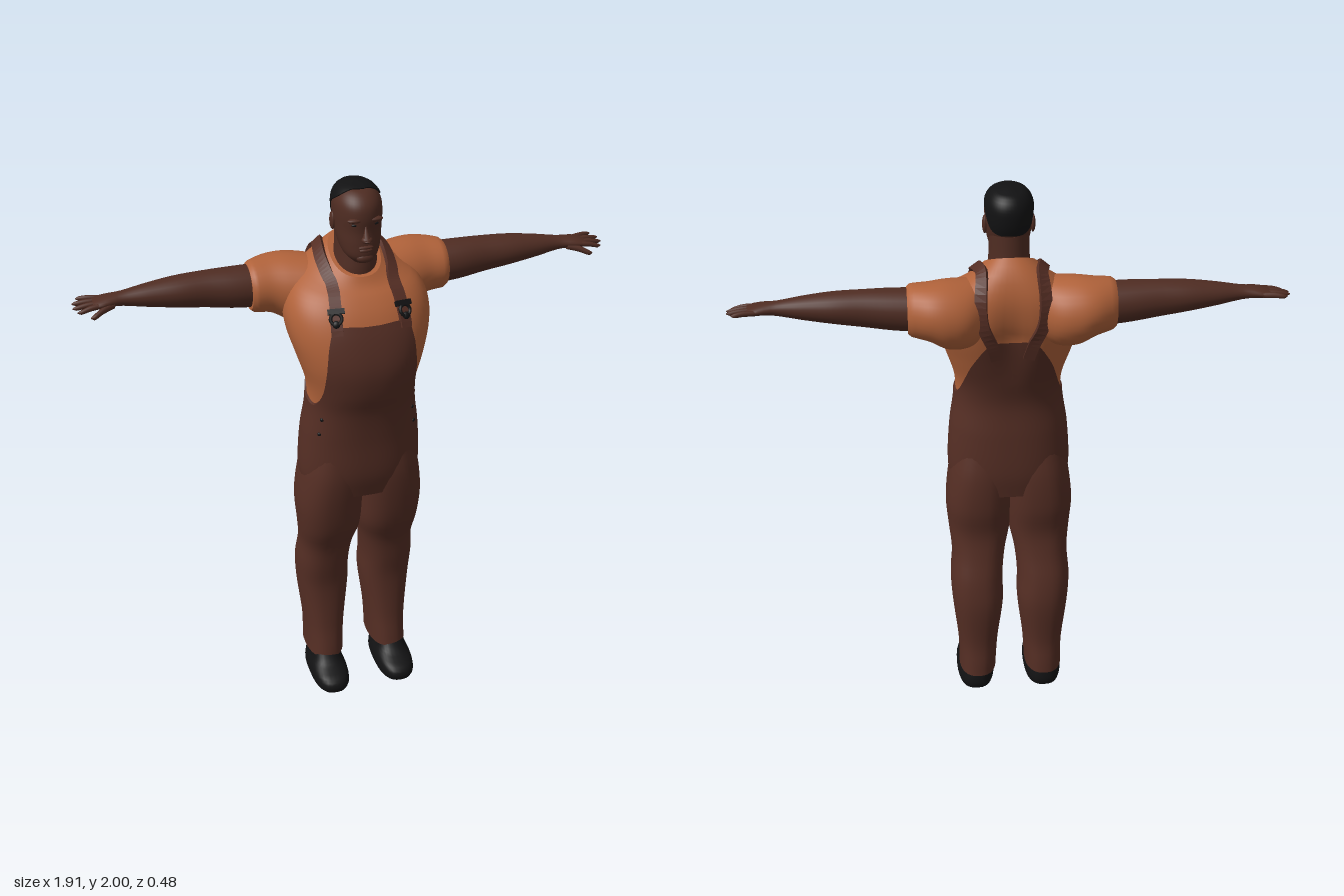
import * as THREE from 'three';

const V = (x, y, z) => new THREE.Vector3(x, y, z);
const spow = (v, n) => Math.sign(v) * Math.abs(v) ** (2 / n);

// Smoothly interpolate rows [key, a, b, ...] at a key
function at(rows, k) {
  const last = rows.length - 1;
  k = Math.min(Math.max(k, rows[0][0]), rows[last][0]);
  let i = 0;
  while (i < last - 1 && k > rows[i + 1][0]) i++;
  const slope = (j, c) => {
    const a = rows[Math.max(j - 1, 0)], b = rows[Math.min(j + 1, last)];
    return (b[c] - a[c]) / (b[0] - a[0]);
  };
  const h = rows[i + 1][0] - rows[i][0], t = (k - rows[i][0]) / h;
  return rows[i].map((p, c) => c === 0 ? k :
    p * (1 + 2 * t) * (1 - t) ** 2 + rows[i + 1][c] * t * t * (3 - 2 * t)
    + h * slope(i, c) * t * (1 - t) ** 2 + h * slope(i + 1, c) * t * t * (t - 1));
}

// Closed tube through rings of points, capped at both ends
function loft(rings) {
  const n = rings[0].length, pos = [], idx = [];
  const add = (p) => pos.push(p.x, p.y, p.z) / 3 - 1;
  rings.forEach((r) => r.forEach(add));
  for (let i = 0; i < rings.length - 1; i++) for (let j = 0; j < n; j++) {
    const a = i * n + j, b = i * n + (j + 1) % n;
    idx.push(a, b, a + n, b, b + n, a + n);
  }
  [rings[0], rings[rings.length - 1]].forEach((r, end) => {
    const c = add(r.reduce((s, p) => s.add(p), V(0, 0, 0)).divideScalar(n));
    const ids = r.map(add);
    ids.forEach((a, j) => {
      const b = ids[(j + 1) % n];
      end ? idx.push(a, b, c) : idx.push(b, a, c);
    });
  });
  const g = new THREE.BufferGeometry();
  g.setAttribute('position', new THREE.Float32BufferAttribute(pos, 3));
  g.setIndex(idx);
  g.computeVertexNormals();
  return g;
}

const surface = (fn, a, b, nv, nu = 40) => loft(Array.from({ length: nv + 1 }, (_, i) =>
  Array.from({ length: nu }, (_, j) => {
    const th = j / nu * Math.PI * 2;
    const hi = typeof b === 'function' ? b(th) : b, lo = typeof a === 'function' ? a(th) : a;
    return fn(th, lo + (hi - lo) * i / nv);
  })));

// Upright oval section; theta 0 faces front
const oval = (th, y, xc, hw, zf, zb, n = 2.3) =>
  V(xc + hw * spow(Math.sin(th), n), y, (zf + zb) / 2 + (zf - zb) / 2 * spow(Math.cos(th), n));

// Limb running along +x: rows [x, yc, zc, ry, rz]
const limb = (rows, nv, nu = 24) => surface((th, x) => {
  const [, yc, zc, ry, rz] = at(rows, x);
  return V(x, yc + ry * Math.cos(th), zc + rz * Math.sin(th));
}, rows[0][0], rows[rows.length - 1][0], nv, nu);

function mirrored(g) {
  const m = g.clone().scale(-1, 1, 1);
  if (!m.index) m.setIndex([...Array(m.attributes.position.count).keys()]);
  const ix = m.index.array;
  for (let i = 0; i < ix.length; i += 3) [ix[i], ix[i + 1]] = [ix[i + 1], ix[i]];
  return m;
}

// Torso: y, half width, front z, back z, forward slope
const TORSO = [
  [0.86, 0.2, 0.15, -0.1, 0], [0.95, 0.213, 0.172, -0.112, 0], [1.1, 0.205, 0.18, -0.108, 0],
  [1.22, 0.188, 0.195, -0.1, 0], [1.3, 0.192, 0.22, -0.115, 0], [1.4, 0.222, 0.232, -0.148, 0],
  [1.5, 0.25, 0.212, -0.18, 0], [1.58, 0.25, 0.178, -0.198, 0], [1.65, 0.215, 0.137, -0.195, -0.1],
  [1.7, 0.145, 0.108, -0.165, -0.3], [1.74, 0.087, 0.088, -0.118, -0.5],
];
function torsoPoint(th, y, off = 0) {
  const [, hw, zf, zb, tilt] = at(TORSO, y);
  const p = oval(th, y, 0, hw + off, zf + off, zb - off);
  p.y += tilt * (p.z - (zf + zb) / 2);
  // Spine groove between the shoulder blades
  if (p.z < 0) p.z += 0.028 * Math.exp(-((p.x / 0.06) ** 2)) * Math.max(0, 1 - Math.abs(y - 1.52) / 0.2);
  return p;
}
function torsoNormal(th, y) {
  const e = 0.01, du = torsoPoint(th + e, y).sub(torsoPoint(th - e, y));
  return du.cross(torsoPoint(th, y + e / 2).sub(torsoPoint(th, y - e / 2))).normalize();
}
const BIB = [[0, 1.555], [0.47, 1.55], [0.56, 1.5], [0.72, 1.4], [0.95, 1.3], [1.2, 1.24], [1.5, 1.235],
  [1.9, 1.25], [2.3, 1.33], [2.65, 1.43], [2.9, 1.5], [3.15, 1.5]];
const fold = (th) => th > Math.PI ? 2 * Math.PI - th : th;

const HEAD = [
  [1.745, 0.03, 0.1, 0.02], [1.77, 0.056, 0.119, -0.02], [1.81, 0.071, 0.121, -0.06],
  [1.86, 0.078, 0.118, -0.088], [1.91, 0.081, 0.122, -0.098], [1.95, 0.077, 0.113, -0.094],
  [1.98, 0.057, 0.084, -0.072], [1.993, 0.03, 0.05, -0.04], [1.996, 0.004, 0.01, -0.005],
];
const headPoint = (th, y, off = 0) => {
  const [, hw, zf, zb] = at(HEAD, y);
  return oval(th, y + off, 0, hw + off, zf + off, zb - off, 2.15);
};
const HAIRLINE = [[0, 1.991], [0.9, 1.985], [1.57, 1.945], [1.9, 1.915], [2.2, 1.87], [2.6, 1.852], [3.15, 1.85]];

// Trouser leg: y, inner x, outer x, front z, back z
const LEG = [
  [0.095, 0.056, 0.195, 0.086, -0.152], [0.14, 0.054, 0.194, 0.08, -0.15], [0.22, 0.048, 0.197, 0.068, -0.143],
  [0.4, 0.027, 0.216, 0.06, -0.155], [0.5, 0.028, 0.221, 0.074, -0.143], [0.6, 0.018, 0.214, 0.092, -0.117],
  [0.69, -0.002, 0.223, 0.13, -0.104], [0.8, -0.008, 0.231, 0.155, -0.12], [0.93, -0.012, 0.217, 0.17, -0.118],
  [1.03, -0.01, 0.195, 0.165, -0.098],
];

const SHOE = [
  [0, 0.066, 0.185, -0.1], [0.02, 0.071, 0.194, -0.106], [0.05, 0.067, 0.178, -0.103],
  [0.075, 0.058, 0.115, -0.097], [0.12, 0.05, 0.07, -0.09],
];

export function createModel() {
  const root = new THREE.Group();
  root.name = 'manInOveralls';
  const mat = (name, color) => new THREE.MeshStandardMaterial({ name, color });
  const skin = mat('skin', 0x4f2c22), shirt = mat('shirt', 0xb0623a);
  const denim = mat('overalls', 0x552e24), black = mat('black', 0x121213);
  const mesh = (name, g, m) => {
    const o = new THREE.Mesh(g, m);
    o.name = name;
    root.add(o);
    return o;
  };
  const pair = (name, g, m) => {
    mesh('left' + name, g, m);
    mesh('right' + name, mirrored(g), m);
  };
  const ball = (x, y, z, rx, ry, rz) => new THREE.SphereGeometry(1, 16, 12).scale(rx, ry, rz).translate(x, y, z);

  // Shirt
  mesh('shirtBody', surface((th, y) => torsoPoint(th, y), 1.15, 1.74, 32, 64), shirt);
  pair('Sleeve', limb([
    [0.08, 1.6, -0.07, 0.1, 0.1], [0.15, 1.592, -0.1, 0.118, 0.125], [0.22, 1.597, -0.117, 0.118, 0.124],
    [0.28, 1.61, -0.122, 0.1, 0.11], [0.345, 1.612, -0.108, 0.088, 0.09], [0.352, 1.612, -0.108, 0.08, 0.082],
  ], 24, 32), shirt);

  // Overalls: body with bib, legs, straps
  mesh('overallsBody', surface((th, y) => torsoPoint(th, y, 0.007), 0.86, (th) => at(BIB, fold(th))[1], 30, 96), denim);
  pair('Leg', surface((th, y) => {
    const [, xi, xo, zf, zb] = at(LEG, y);
    return oval(th, y, (xi + xo) / 2, (xo - xi) / 2, zf, zb, 2.4);
  }, 0.095, 1.03, 36, 32), denim);

  const path = new THREE.CatmullRomCurve3([
    [0.43, 1.53], [0.43, 1.6], [0.48, 1.65], [0.72, 1.695], [1.1, 1.715], [1.6, 1.722], [2.1, 1.718],
    [2.45, 1.7], [2.68, 1.65], [2.78, 1.58], [2.9, 1.5], [2.95, 1.44],
  ].map(([th, y]) => V(th, y, 0)));
  const track = path.getPoints(48);
  const onTrack = (i) => torsoPoint(track[i].x, track[i].y);
  const strap = loft(track.map((p, i) => {
    const c = onTrack(i), n = torsoNormal(p.x, p.y);
    const t = onTrack(Math.min(i + 1, 48)).sub(onTrack(Math.max(i - 1, 0))).normalize();
    const w = t.cross(n).normalize();
    return [[0.013, -1], [0.013, 1], [-0.012, 1], [-0.012, -1]].map(([h, s]) =>
      c.clone().addScaledVector(n, h).addScaledVector(w, s * 0.02));
  })).toNonIndexed();
  strap.computeVertexNormals();
  pair('Strap', strap, denim);

  // Buckles and side buttons, laid on the torso surface
  const lay = (g, th, y, off) => {
    const n = torsoNormal(th, y), p = torsoPoint(th, y).addScaledVector(n, off);
    return g.applyQuaternion(new THREE.Quaternion().setFromUnitVectors(V(0, 0, 1), n)).translate(p.x, p.y, p.z);
  };
  pair('BuckleBar', lay(new THREE.BoxGeometry(0.058, 0.018, 0.014), 0.43, 1.605, 0.016), black);
  pair('BuckleRing', lay(new THREE.TorusGeometry(0.019, 0.006, 8, 16), 0.43, 1.582, 0.016), black);
  pair('BuckleStud', lay(ball(0, 0, 0, 0.013, 0.013, 0.008), 0.43, 1.565, 0.016), black);
  for (const y of [1.13, 1.19]) pair('SideButton', lay(ball(0, 0, 0, 0.007, 0.007, 0.005), 0.95, y, 0.007), black);

  // Neck, head and hair
  const NECK = [[1.6, 0.085, 0.07, -0.1], [1.7, 0.077, 0.078, -0.098], [1.76, 0.07, 0.07, -0.09], [1.85, 0.068, 0.06, -0.085]];
  mesh('neck', surface((th, y) => {
    const [, hw, zf, zb] = at(NECK, y);
    return oval(th, y, 0, hw, zf, zb, 2);
  }, 1.6, 1.85, 10), skin);
  mesh('head', surface((th, y) => headPoint(th, y), 1.745, 1.996, 32, 40), skin);
  mesh('hair', surface((th, y) => headPoint(th, y, 0.004), (th) => at(HAIRLINE, fold(th))[1], 1.996, 14, 48), black);

  // Face
  const nose = new THREE.ConeGeometry(0.02, 0.06, 12).scale(0.85, 1, 1).rotateX(-0.25).translate(0, 1.862, 0.123);
  mesh('nose', nose, skin);
  mesh('noseTip', ball(0, 1.84, 0.13, 0.019, 0.012, 0.017), skin);
  mesh('upperLip', ball(0, 1.809, 0.119, 0.026, 0.006, 0.009), skin);
  mesh('lowerLip', ball(0, 1.798, 0.118, 0.023, 0.007, 0.009), skin);
  mesh('chin', ball(0, 1.768, 0.108, 0.03, 0.018, 0.016), skin);
  pair('Ear', ball(0.081, 1.868, 0.0, 0.009, 0.032, 0.02), skin);
  pair('BrowRidge', ball(0.034, 1.903, 0.108, 0.027, 0.008, 0.014), skin);
  pair('Eye', ball(0.034, 1.887, 0.107, 0.013, 0.005, 0.007), black);

  // Arms and hands
  pair('Arm', limb([
    [0.28, 1.612, -0.112, 0.076, 0.076], [0.4, 1.618, -0.108, 0.072, 0.072], [0.5, 1.625, -0.108, 0.064, 0.062],
    [0.6, 1.63, -0.106, 0.054, 0.058], [0.7, 1.632, -0.104, 0.04, 0.044], [0.79, 1.633, -0.102, 0.024, 0.03],
    [0.83, 1.633, -0.1, 0.02, 0.037], [0.87, 1.63, -0.1, 0.014, 0.042], [0.885, 1.63, -0.1, 0.008, 0.036],
  ], 30), skin);
  const finger = (x, y, z, x2, y2, z2, r) => limb([
    [x, y, z, r, r], [(x + x2) / 2, (y + y2) / 2 + 0.002, (z + z2) / 2, r, r],
    [x2 - 0.01, y2, z2, r * 0.75, r * 0.75], [x2, y2, z2, r * 0.2, r * 0.2],
  ], 8, 10);
  [[-0.132, -0.147, 0.935], [-0.111, -0.118, 0.952], [-0.09, -0.089, 0.953], [-0.07, -0.062, 0.94]].forEach(([z, z2, tip], i) =>
    pair('Finger' + (i + 1), finger(0.855, 1.63, z, tip, 1.63 - i * 0.004, z2, 0.0095), skin));
  pair('Thumb', finger(0.815, 1.624, -0.078, 0.9, 1.603, -0.042, 0.012), skin);

  // Shoes
  pair('Shoe', surface((th, y) => {
    const [, hw, zf, zb] = at(SHOE, y);
    return oval(th, y, 0.13, hw, zf, zb, 2.6);
  }, 0, 0.12, 14, 32), black);

  return root;
}
